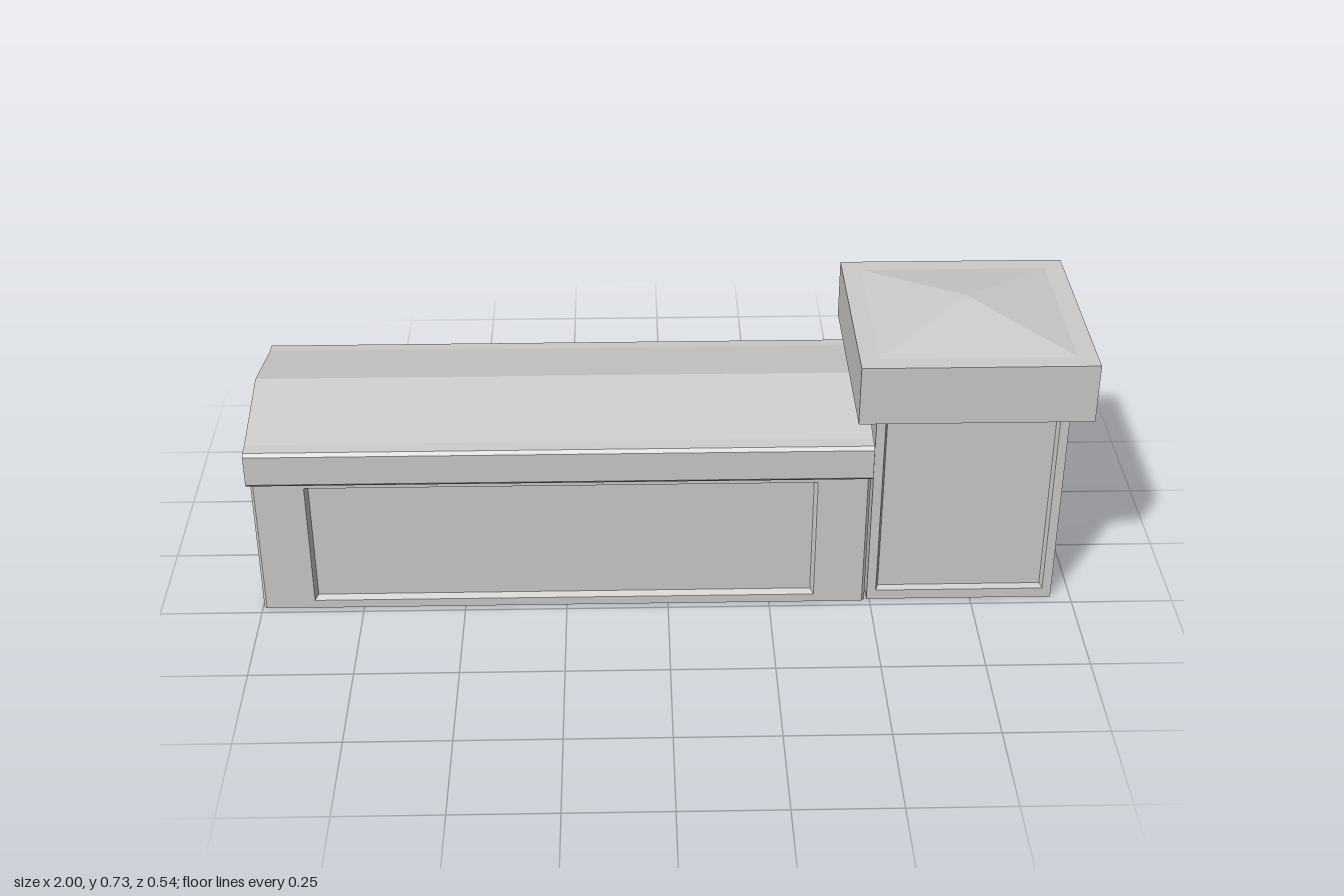
import * as THREE from 'three';

const material = new THREE.MeshStandardMaterial({ color: 0xcccccc, flatShading: true });

function addMesh(parent, geometry, name) {
  const mesh = new THREE.Mesh(geometry, material);
  mesh.name = name;
  parent.add(mesh);
  return mesh;
}

// Skins a stack of rectangles [halfWidth, bottom, top, z] and fills the last one
function nestedRectangles(rings) {
  const corners = rings.map(([w, y0, y1, z]) => [[-w, y0, z], [w, y0, z], [w, y1, z], [-w, y1, z]]);
  const positions = [];
  const quad = (a, b, c, d) => positions.push(...a, ...b, ...c, ...a, ...c, ...d);
  for (let r = 0; r + 1 < corners.length; r++) {
    for (let i = 0; i < 4; i++) {
      const j = (i + 1) % 4;
      quad(corners[r][i], corners[r][j], corners[r + 1][j], corners[r + 1][i]);
    }
  }
  quad(...corners[corners.length - 1]);
  const geometry = new THREE.BufferGeometry();
  geometry.setAttribute('position', new THREE.Float32BufferAttribute(positions, 3));
  geometry.computeVertexNormals();
  return geometry;
}

// Block made of two identical halves, each with a recessed panel
function panelledBlock(name, x, rings) {
  const block = new THREE.Group();
  block.name = name;
  block.position.x = x;
  const geometry = nestedRectangles(rings);
  addMesh(block, geometry, name + 'Front');
  addMesh(block, geometry, name + 'Back').rotation.y = Math.PI;
  return block;
}

export function createModel() {
  const model = new THREE.Group();
  model.name = 'wallWithPillar';

  // Low wall with chamfered ends and long sunken panels
  model.add(panelledBlock('wall', -0.255, [
    [0.742, 0, 0.38, 0],
    [0.742, 0, 0.38, 0.225],
    [0.735, 0, 0.38, 0.232],
    [0.615, 0.022, 0.35, 0.232],
    [0.607, 0.03, 0.342, 0.217],
  ]));

  // Coping: moulded edges and a shallow ridged top
  const side = [[0.23, 0.367], [0.24, 0.375], [0.258, 0.375], [0.267, 0.384],
    [0.267, 0.46], [0.259, 0.468], [0.226, 0.47]];
  const outline = [...side, [0, 0.52], ...side.map(([z, y]) => [-z, y]).reverse()];
  const profile = new THREE.Shape(outline.map(([z, y]) => new THREE.Vector2(z, y)));
  const coping = new THREE.ExtrudeGeometry(profile, { depth: 1.487, bevelEnabled: false });
  coping.rotateY(Math.PI / 2).translate(-1, 0, 0);
  addMesh(model, coping, 'coping');

  // Pillar with sunken panels front and back
  model.add(panelledBlock('pillar', 0.722, [
    [0.229, 0, 0.54, 0],
    [0.229, 0, 0.54, 0.225],
    [0.207, 0.026, 0.509, 0.225],
    [0.201, 0.032, 0.503, 0.21],
  ]));

  // Square cap slab and the low pyramid on it
  const slab = new THREE.BoxGeometry(0.555, 0.15, 0.54);
  addMesh(model, slab.translate(0.7225, 0.61, 0), 'pillarCap');
  const pyramid = new THREE.ConeGeometry(Math.SQRT1_2, 0.045, 4, 1, true);
  pyramid.rotateY(Math.PI / 4).scale(0.46, 1, 0.45).translate(0.7225, 0.7075, 0);
  addMesh(model, pyramid, 'capPyramid');

  return model;
}
